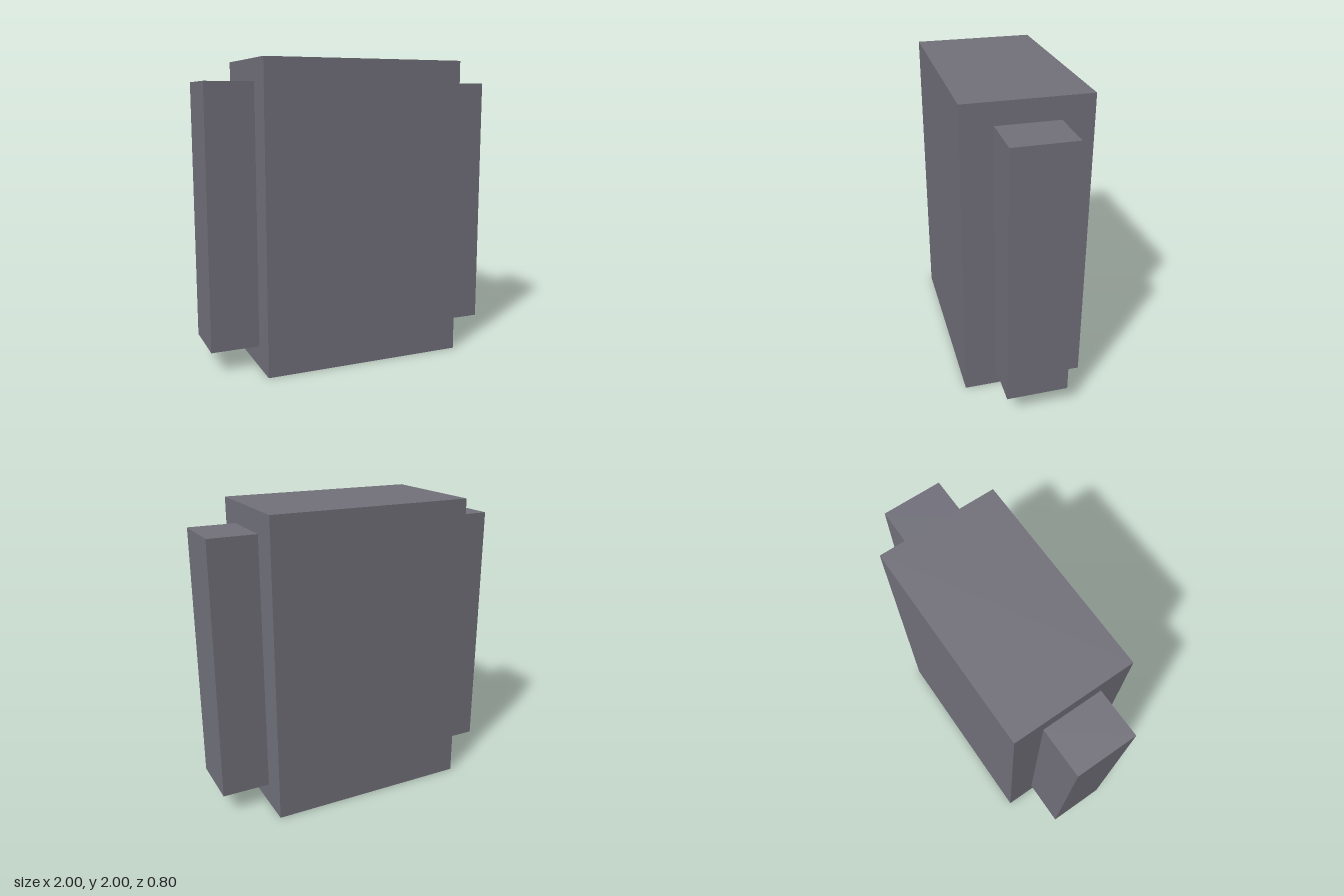
import * as THREE from 'three';

export function createModel() {
  const model = new THREE.Group();
  model.name = 'blockBody';

  const grey = new THREE.MeshStandardMaterial({ color: 0x72717b });
  grey.name = 'slate grey';

  const addBox = (name, width, height, depth, x) => {
    const mesh = new THREE.Mesh(new THREE.BoxGeometry(width, height, depth), grey);
    mesh.name = name;
    mesh.position.set(x, 1, 0);
    model.add(mesh);
  };

  // Main slab
  addBox('mainBody', 1.364, 2, 0.8, 0);

  // Narrower block on each side, centred on the slab's height and depth
  for (const [name, side] of [['leftSideBlock', 1], ['rightSideBlock', -1]]) {
    addBox(name, 0.318, 1.714, 0.4, side * 0.841);
  }

  return model;
}
